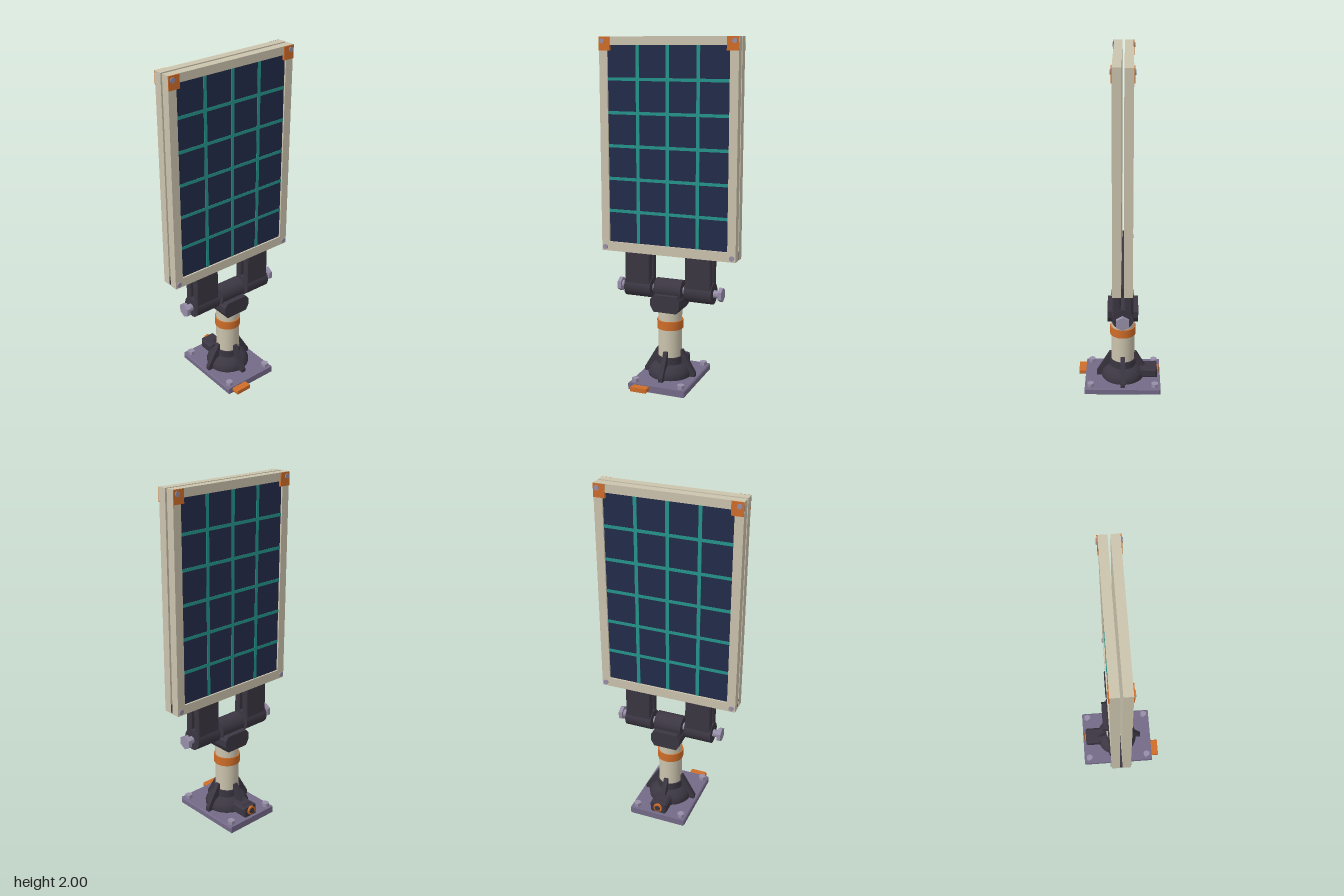
import * as THREE from 'three';
import { toCreasedNormals } from 'three/addons/utils/BufferGeometryUtils.js';

const mat = (name, color) => {
  const m = new THREE.MeshStandardMaterial({ color });
  m.name = name;
  return m;
};

export function createModel() {
  const cream = mat('cream', 0xcbc3ad);
  const dark = mat('charcoal', 0x3b3642);
  const purple = mat('plate purple', 0x746a88);
  const steel = mat('bolt lilac', 0x968ea8);
  const orange = mat('orange', 0xcf6d29);
  const navy = mat('cell navy', 0x232c4a);
  const teal = mat('grid teal', 0x24948a);

  const root = new THREE.Group();
  root.name = 'solarPanelStand';
  const body = new THREE.Group();
  body.name = 'stand';
  body.position.x = -0.023;
  root.add(body);

  const add = (parent, name, geo, material, x = 0, y = 0, z = 0) => {
    const m = new THREE.Mesh(geo, material);
    m.name = name;
    m.position.set(x, y, z);
    parent.add(m);
    return m;
  };
  const box = (w, h, d) => new THREE.BoxGeometry(w, h, d);
  // Box with chamfered edges, centred on its origin
  const chamfered = (w, h, d, b) => {
    const x = w / 2 - b, y = h / 2 - b;
    const s = new THREE.Shape([[-x, -y], [x, -y], [x, y], [-x, y]].map(p => new THREE.Vector2(...p)));
    return new THREE.ExtrudeGeometry(s, {
      depth: d - 2 * b, bevelEnabled: true, bevelSize: b, bevelThickness: b, bevelSegments: 1,
    }).translate(0, 0, b - d / 2);
  };
  const cyl = (r, h, n = 32, axis = 'y') => {
    const g = toCreasedNormals(new THREE.CylinderGeometry(r, r, h, n), 0.6);
    if (axis === 'x') g.rotateZ(-Math.PI / 2);
    if (axis === 'z') g.rotateX(Math.PI / 2);
    return g;
  };

  // Base plate with corner bolts and side tab
  add(body, 'basePlate', chamfered(0.453, 0.04, 0.35, 0.006), purple, 0, 0.02, 0);
  for (const sx of [-1, 1]) for (const sz of [-1, 1])
    add(body, 'baseBolt', cyl(0.022, 0.024, 6), steel, sx * 0.192, 0.05, sz * 0.141);
  add(body, 'sideTab', chamfered(0.06, 0.026, 0.102, 0.004), orange, 0.24, 0.022, 0.092);

  // Motor box and its round connector
  add(body, 'motorBox', chamfered(0.102, 0.062, 0.104, 0.01), dark, -0.157, 0.071, 0);
  add(body, 'motorCover', chamfered(0.07, 0.02, 0.08, 0.005), dark, -0.14, 0.095, 0);
  add(body, 'connectorRing', cyl(0.027, 0.012, 24, 'x'), orange, -0.212, 0.078, 0);
  add(body, 'connectorCap', cyl(0.017, 0.012, 24, 'x'), dark, -0.216, 0.078, 0);

  // Domed flange with four gusset ribs
  const flange = [[0, 0.039], [0.128, 0.039], [0.13, 0.058], [0.121, 0.08], [0.102, 0.103],
    [0.078, 0.116], [0.078, 0.16], [0.06, 0.16]].map(p => new THREE.Vector2(...p));
  add(body, 'flange', toCreasedNormals(new THREE.LatheGeometry(flange, 32), 0.6), dark);
  const ribShape = new THREE.Shape([[0.05, 0.039], [0.159, 0.039], [0.159, 0.062], [0.09, 0.18],
    [0.08, 0.198], [0.05, 0.198]].map(p => new THREE.Vector2(...p)));
  for (let i = 0; i < 4; i++) {
    const g = new THREE.ExtrudeGeometry(ribShape, { depth: 0.026, bevelEnabled: false });
    add(body, 'gussetRib', g.translate(0, 0, -0.013), dark).rotation.y = i * Math.PI / 2;
  }

  // Column with orange band
  add(body, 'column', cyl(0.07, 0.4), cream, 0, 0.24, 0);
  add(body, 'columnBand', cyl(0.077, 0.052), orange, 0, 0.354, 0);

  // Saddle block on the column
  const saddle = new THREE.Shape([[-0.07, 0.44], [0.07, 0.44], [0.09, 0.475], [0.09, 0.515],
    [0.07, 0.54], [-0.07, 0.54], [-0.09, 0.515], [-0.09, 0.475]].map(p => new THREE.Vector2(...p)));
  add(body, 'saddleBlock', new THREE.ExtrudeGeometry(saddle, { depth: 0.18, bevelEnabled: false })
    .translate(0, 0, -0.09).rotateY(Math.PI / 2), dark);

  // Hinge: knuckles, pin and hex heads
  const hy = 0.56;
  add(body, 'centreKnuckle', cyl(0.061, 0.166, 32, 'z'), dark, 0, hy, 0);
  add(body, 'hingePin', cyl(0.022, 0.62, 20, 'z'), steel, 0, hy, 0);
  for (const s of [-1, 1]) {
    add(body, 'outerKnuckle', cyl(0.061, 0.164, 32, 'z'), dark, 0, hy, s * 0.187);
    add(body, 'pinHead', cyl(0.042, 0.022, 6, 'z'), steel, 0, hy, s * 0.312);
    for (const sx of [-1, 1])
      add(body, 'panelArm', chamfered(0.042, 0.22, 0.155, 0.006), dark, sx * 0.032, 0.67, s * 0.187);
  }
  add(body, 'foldStrip', box(0.016, 0.05, 0.816), dark, 0, 0.797, 0);

  // One panel facing +x; the other is the same turned half round
  const makePanel = () => {
    const p = new THREE.Group();
    p.name = 'solarPanel';
    const rect = (path, z, y0, y1) =>
      path.moveTo(-z, y0).lineTo(z, y0).lineTo(z, y1).lineTo(-z, y1).closePath();
    const outline = rect(new THREE.Shape(), 0.41, 0.77, 2);
    outline.holes.push(rect(new THREE.Path(), 0.361, 0.825, 1.953));
    add(p, 'panelFrame', new THREE.ExtrudeGeometry(outline, { depth: 0.048, bevelEnabled: false })
      .rotateY(Math.PI / 2), cream, 0.007);
    add(p, 'panelBack', box(0.02, 1.14, 0.73), cream, 0.018, 1.389, 0);
    add(p, 'cellSheet', box(0.018, 1.128, 0.722), navy, 0.036, 1.389, 0);
    for (let i = -1; i <= 1; i++)
      add(p, 'gridUpright', box(0.004, 1.128, 0.02), teal, 0.0455, 1.389, i * 0.18);
    for (let i = -2; i <= 2; i++)
      add(p, 'gridRow', box(0.004, 0.018, 0.722), teal, 0.0455, 1.388 + i * 0.189, 0);
    for (const s of [-1, 1]) {
      add(p, 'cornerClip', box(0.018, 0.075, 0.066), orange, 0.051, 1.9615, s * 0.3765);
      add(p, 'upperScrew', cyl(0.014, 0.01, 16, 'x'), steel, 0.06, 1.976, s * 0.388);
      add(p, 'lowerScrew', cyl(0.015, 0.012, 16, 'x'), steel, 0.055, 0.792, s * 0.388);
    }
    return p;
  };
  const leftPanel = makePanel();
  const rightPanel = makePanel();
  rightPanel.rotation.y = Math.PI;
  body.add(leftPanel, rightPanel);

  return root;
}
